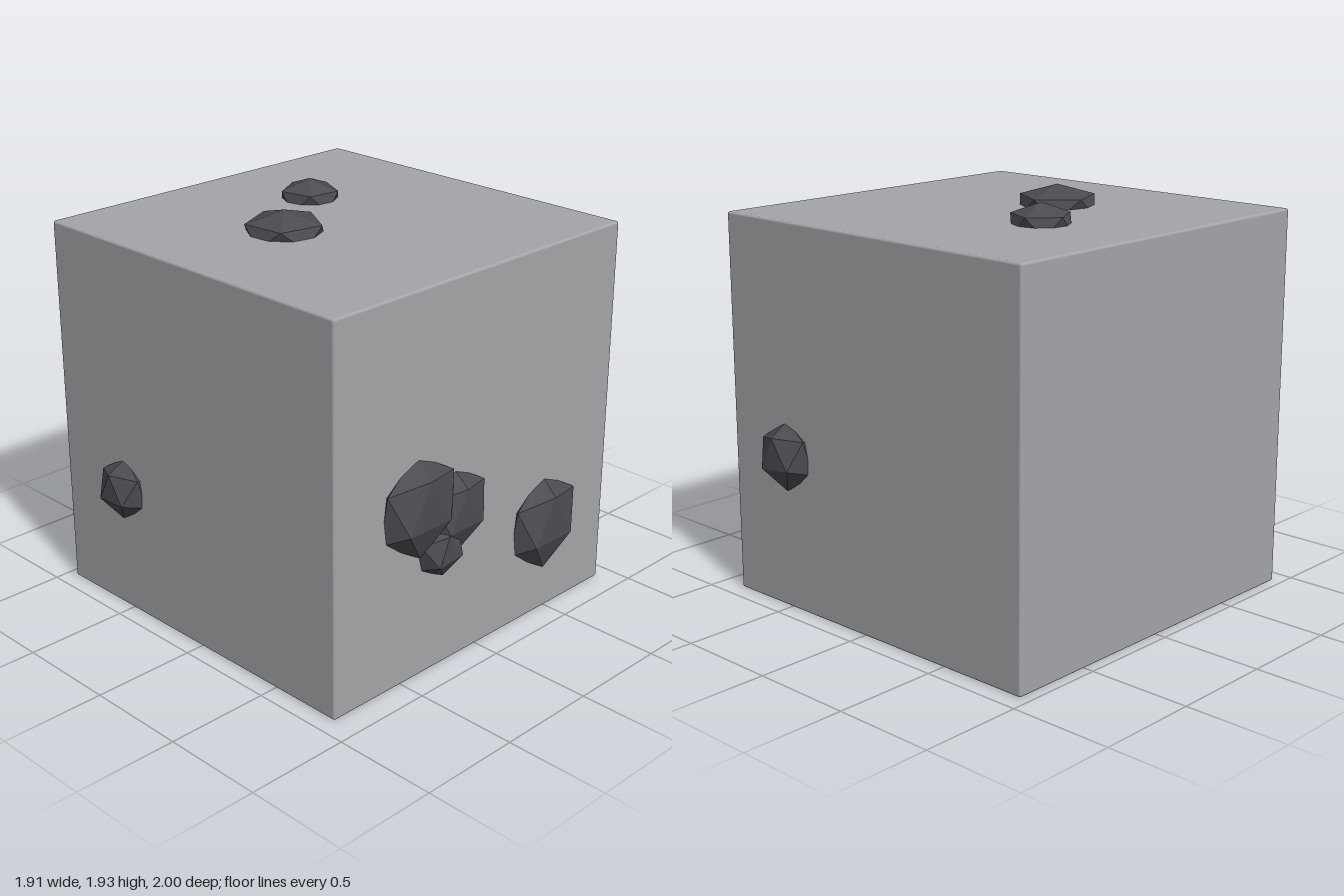
import * as THREE from 'three';
import { RoundedBoxGeometry } from 'three/addons/geometries/RoundedBoxGeometry.js';

const T = (1 + Math.sqrt(5)) / 2;
const HALF_PI = Math.PI / 2;

// Icosahedral stone turned so a face or a corner points along +z, then flattened.
function stoneGeometry(pointed, radius, height, spin) {
  const z = pointed ? new THREE.Vector3(0, 1, T) : new THREE.Vector3(1, 1, 1);
  const hint = pointed ? new THREE.Vector3(1, T, 0) : new THREE.Vector3(0, 1, T);
  z.normalize();
  const x = hint.cross(z).normalize();
  const y = z.clone().cross(x);
  const g = new THREE.IcosahedronGeometry(1, 0);
  g.applyMatrix4(new THREE.Matrix4().makeBasis(x, y, z).transpose());
  g.rotateZ(spin);
  // Outline radius and top height of the unit shape in this pose
  const ring = pointed ? 0.894 : 0.982, top = pointed ? 1 : 0.795;
  g.scale(radius / ring, radius / ring, height / top);
  g.computeVertexNormals();
  return g;
}

export function createModel() {
  const group = new THREE.Group();
  const blockMat = new THREE.MeshStandardMaterial({ color: 0xa5a4a8 });
  const stoneMat = new THREE.MeshStandardMaterial({ color: 0x4c4b51, flatShading: true });

  // Block with finely bevelled edges
  const block = new THREE.Mesh(new RoundedBoxGeometry(1.825, 1.832, 1.825, 2, 0.012), blockMat);
  block.name = 'block';
  block.position.set(-0.042, 0.916, 0);
  group.add(block);

  // Stones half sunk into the faces: position, turn of the face, pointed, radius, height, spin
  const right = [0, HALF_PI, 0], top = [-HALF_PI, 0, 0], back = [0, Math.PI, 0], front = [0, 0, 0];
  const stones = [
    ['largeRightStone', [0.87, 0.845, 0.41], right, false, 0.24, 0.082, 0],
    ['middleRightStone', [0.87, 0.75, 0.17], right, false, 0.2, 0.078, 0],
    ['smallRightStone', [0.87, 0.6, 0.275], right, false, 0.137, 0.08, 0.12],
    ['rearRightStone', [0.87, 0.467, -0.455], right, false, 0.237, 0.075, 0],
    ['smallTopStone', [-0.395, 1.832, -0.175], top, true, 0.14, 0.095, 0.2],
    ['largeTopStone', [-0.1, 1.832, 0.265], top, true, 0.183, 0.097, 0.1],
    ['frontStone', [-0.52, 0.628, 0.912], front, false, 0.148, 0.088, 0.05],
    ['backStone', [0.495, 0.743, -0.912], back, false, 0.163, 0.088, 0.1],
  ];
  for (const [name, pos, turn, pointed, radius, height, spin] of stones) {
    const stone = new THREE.Mesh(stoneGeometry(pointed, radius, height, spin), stoneMat);
    stone.name = name;
    stone.position.set(...pos);
    stone.rotation.set(...turn);
    group.add(stone);
  }
  return group;
}
